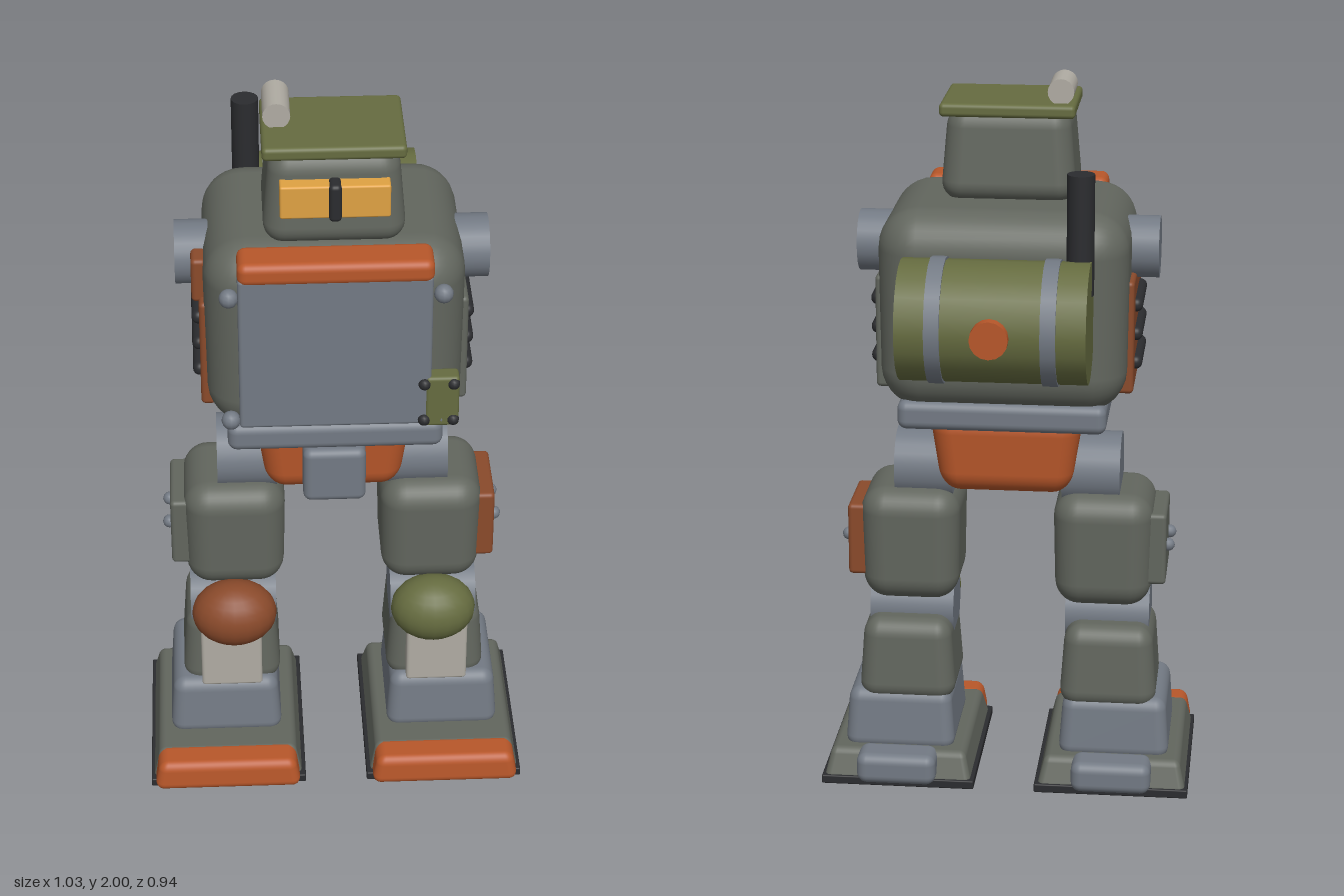
import * as THREE from 'three';
import { RoundedBoxGeometry } from 'three/addons/geometries/RoundedBoxGeometry.js';

const paint = (color) => new THREE.MeshStandardMaterial({ color });
const M = {
  body: paint(0x62665e), slate: paint(0x737a84), orange: paint(0xb8572a),
  green: paint(0x666c40), rust: paint(0x8a4a2b), dark: paint(0x2b2c2f),
  pale: paint(0xb0aca3), amber: paint(0xe0a243),
};

// Scales x and z linearly from the bottom (bx, bz) to the top (tx, tz), normals included
function taper(geo, h, [bx, bz], [tx, tz]) {
  const p = geo.attributes.position, n = geo.attributes.normal, v = new THREE.Vector3();
  for (let i = 0; i < p.count; i++) {
    const x = p.getX(i), y = p.getY(i), z = p.getZ(i), t = y / h + 0.5;
    const kx = bx + (tx - bx) * t, kz = bz + (tz - bz) * t;
    p.setXYZ(i, x * kx, y, z * kz);
    const nx = n.getX(i) / kx, nz = n.getZ(i) / kz;
    v.set(nx, n.getY(i) - (nx * x * (tx - bx) + nz * z * (tz - bz)) / h, nz).normalize();
    n.setXYZ(i, v.x, v.y, v.z);
  }
  return geo;
}

export function createModel() {
  const root = new THREE.Group();
  root.name = 'robot';

  function add(parent, name, geo, mat, x, y, z) {
    const mesh = new THREE.Mesh(geo, mat);
    mesh.name = name;
    mesh.position.set(x, y, z);
    parent.add(mesh);
    return mesh;
  }
  // Rounded box given by its extents on each axis
  function box(parent, name, mat, [x0, x1], [y0, y1], [z0, z1], r, bottom, top) {
    const w = x1 - x0, h = y1 - y0, d = z1 - z0;
    const geo = new RoundedBoxGeometry(w, h, d, 4, Math.min(r, w / 2.01, h / 2.01, d / 2.01));
    if (bottom) taper(geo, h, bottom, top);
    return add(parent, name, geo, mat, (x0 + x1) / 2, (y0 + y1) / 2, (z0 + z1) / 2);
  }
  // Cylinder along a chosen axis
  function rod(parent, name, mat, axis, r, len, x, y, z, sides = 24) {
    const geo = new THREE.CylinderGeometry(r, r, len, sides);
    if (axis === 'x') geo.rotateZ(Math.PI / 2);
    if (axis === 'z') geo.rotateX(Math.PI / 2);
    return add(parent, name, geo, mat, x, y, z);
  }
  const rivet = (parent, mat, r, x, y, z) =>
    add(parent, 'rivet', new THREE.SphereGeometry(r, 12, 8), mat, x, y, z);
  // Extents mirrored to one side of the body
  const side = (s, a, b) => (s > 0 ? [a, b] : [-b, -a]);
  const group = (name) => {
    const g = new THREE.Group();
    g.name = name;
    root.add(g);
    return g;
  };

  // Torso
  const torso = group('torso');
  box(torso, 'torsoShell', M.body, [-0.335, 0.335], [1.13, 1.675], [-0.177, 0.362], 0.11, [0.98, 1], [1, 1]);
  box(torso, 'waistPlate', M.slate, [-0.28, 0.28], [1.08, 1.16], [-0.157, 0.355], 0.025);
  box(torso, 'chestPlate', M.slate, [-0.248, 0.243], [1.185, 1.63], [0.33, 0.396], 0.01);
  box(torso, 'collarBar', M.orange, [-0.248, 0.246], [1.612, 1.675], [0.29, 0.4], 0.022);
  for (const x of [-0.27, 0.27])
    for (const y of [1.2, 1.57]) rivet(torso, M.slate, 0.025, x, y, 0.376);

  // Chest latch
  box(torso, 'latch', M.green, [0.228, 0.315], [1.18, 1.33], [0.35, 0.4], 0.01);
  for (const x of [0.225, 0.3])
    for (const y of [1.2, 1.31]) rivet(torso, M.dark, 0.016, x, y, 0.396);

  // Shoulder stubs and side vents
  for (const s of [-1, 1]) {
    rod(torso, 'shoulder', M.slate, 'x', 0.083, 0.16, s * 0.325, 1.54, 0.095);
    box(torso, 'ventPanel', s > 0 ? M.body : M.rust, side(s, 0.3, 0.346), [1.172, 1.482], [-0.066, 0.263], 0.012);
    for (const y of [1.243, 1.323, 1.403])
      box(torso, 'ventSlat', M.dark, side(s, 0.325, 0.366), [y - 0.019, y + 0.019], [-0.015, 0.212], 0.018);
  }
  box(torso, 'sidePatch', M.rust, [-0.364, -0.325], [1.465, 1.59], [0.157, 0.227], 0.012);

  // Back tank with straps, cap and exhaust pipe
  const tank = group('backTank');
  rod(tank, 'tankDrum', M.green, 'x', 0.159, 0.49, 0, 1.432, -0.289, 20);
  for (const x of [-0.148, 0.148]) rod(tank, 'tankStrap', M.slate, 'x', 0.165, 0.04, x, 1.432, -0.289, 20);
  rod(tank, 'tankCap', M.orange, 'z', 0.05, 0.06, 0, 1.432, -0.441, 16);
  rod(tank, 'exhaustPipe', M.dark, 'y', 0.036, 0.32, -0.214, 1.65, -0.224, 16);

  // Head
  const head = group('head');
  box(head, 'skull', M.body, [-0.18, 0.18], [1.665, 1.92], [0.013, 0.3], 0.055, [1.02, 1.02], [0.9, 0.86]);
  box(head, 'capPlate', M.green, [-0.18, 0.18], [1.9, 1.936], [0, 0.276], 0.012);
  box(head, 'visor', M.amber, [-0.138, 0.138], [1.765, 1.856], [0.27, 0.325], 0.006);
  box(head, 'visorBar', M.dark, [-0.016, 0.016], [1.758, 1.862], [0.28, 0.336], 0.012);
  rod(head, 'headLamp', M.pale, 'z', 0.035, 0.128, -0.14, 1.966, 0.098, 20);

  // Pelvis
  const pelvis = group('pelvis');
  box(pelvis, 'hipBlock', M.orange, [-0.21, 0.21], [0.867, 1.1], [-0.07, 0.262], 0.06, [0.84, 0.9], [1, 1]);
  box(pelvis, 'frontGuard', M.slate, [-0.083, 0.083], [0.88, 1.043], [0.2, 0.312], 0.022);

  // Legs
  for (const s of [-1, 1]) {
    const leg = group(s > 0 ? 'leftLeg' : 'rightLeg');
    rod(leg, 'hipJoint', M.slate, 'x', 0.102, 0.16, s * 0.23, 0.908, 0.095);
    box(leg, 'thigh', M.body, side(s, 0.128, 0.405), [0.537, 0.862], [-0.053, 0.247], 0.07, [0.95, 0.95], [1, 1]);
    box(leg, 'thighPanel', s > 0 ? M.rust : M.body, side(s, 0.37, 0.44), [0.605, 0.81], [-0.01, 0.203], 0.012);
    for (const z of [0.04, 0.145]) rivet(leg, M.slate, 0.018, s * 0.444, 0.708, z);

    // Knee and shin
    rod(leg, 'kneeJoint', M.slate, 'x', 0.088, 0.235, s * 0.275, 0.465, 0.155);
    const cap = add(leg, 'kneeCap', new THREE.SphereGeometry(1, 20, 14), s > 0 ? M.green : M.rust, s * 0.273, 0.478, 0.262);
    cap.scale.set(0.116, 0.094, 0.09);
    box(leg, 'shin', M.body, side(s, 0.145, 0.42), [0.225, 0.463], [-0.016, 0.272], 0.05, [1, 1], [0.88, 0.9]);
    box(leg, 'shinPlate', M.pale, side(s, 0.2, 0.367), [0.25, 0.46], [0.23, 0.302], 0.01);

    // Boot
    box(leg, 'ankle', M.slate, side(s, 0.146, 0.458), [0.08, 0.258], [-0.027, 0.313], 0.035, [1, 1], [0.92, 0.9]);
    box(leg, 'foot', M.body, side(s, 0.092, 0.51), [0.01, 0.098], [-0.09, 0.425], 0.018, [1, 1], [0.9, 0.88]);
    box(leg, 'toeCap', M.orange, side(s, 0.098, 0.506), [0.008, 0.098], [0.36, 0.467], 0.025, [1, 1], [0.92, 0.86]);
    box(leg, 'heel', M.slate, side(s, 0.19, 0.412), [0.018, 0.107], [-0.13, -0.02], 0.028);
    box(leg, 'sole', M.dark, side(s, 0.085, 0.515), [0, 0.025], [-0.092, 0.432], 0.004);
  }
  return root;
}
